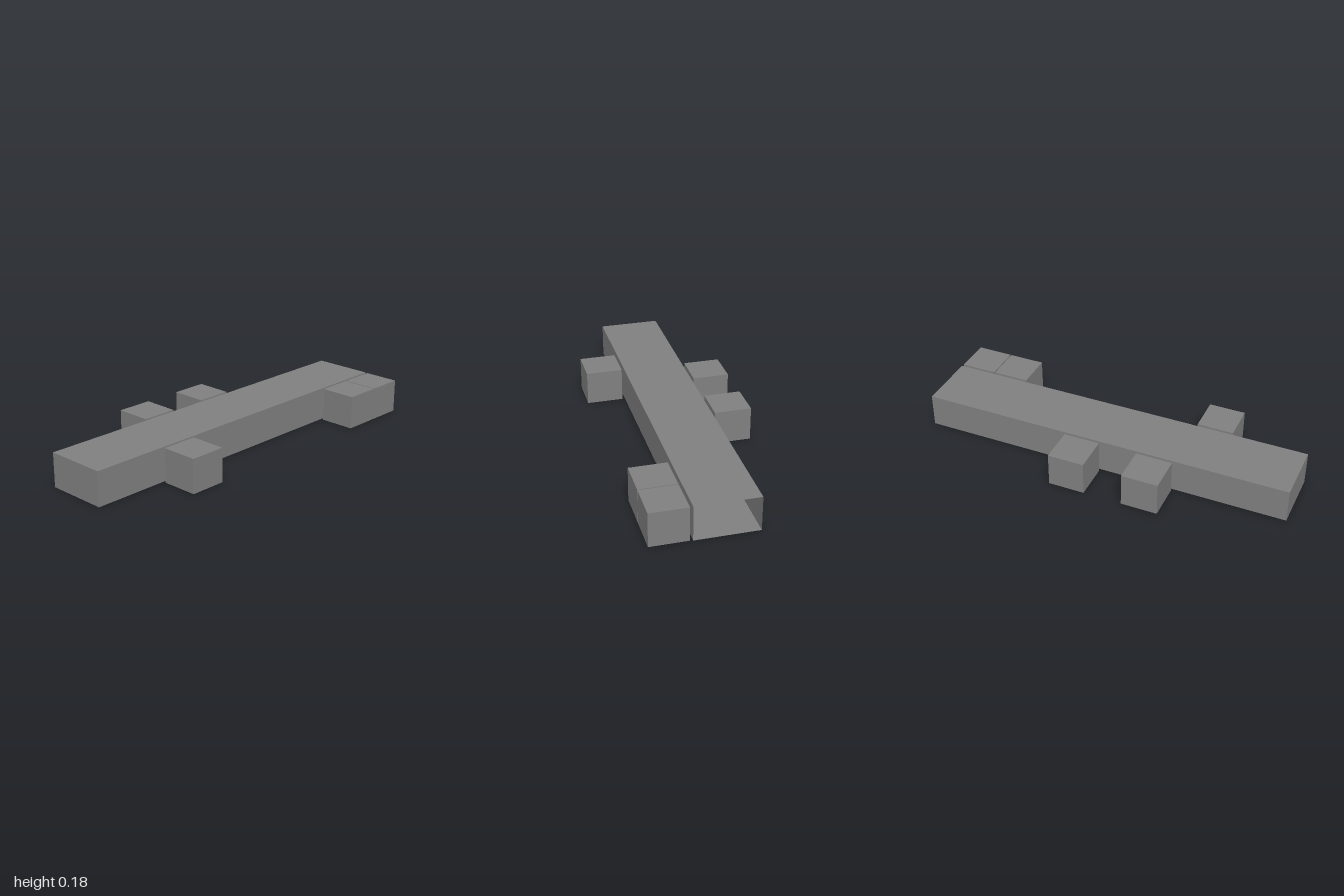
import * as THREE from 'three';

const HEIGHT = 0.18;
const HALL_HALF = 0.163; // half depth of the corridor
const GAP = 0.015;       // space between corridor and rooms
const ROOM = 0.194;      // room width and depth

export function createModel() {
  const model = new THREE.Group();
  const grey = new THREE.MeshStandardMaterial({ color: 0x808080, side: THREE.DoubleSide });
  grey.name = 'grey';

  // Adds a box standing on the ground
  function addBlock(name, w, h, d, x, z) {
    const geometry = new THREE.BoxGeometry(w, h, d);
    geometry.translate(x, h / 2, z);
    const mesh = new THREE.Mesh(geometry, grey);
    mesh.name = name;
    model.add(mesh);
    return mesh;
  }

  // Long corridor, a thin shell left open at its +x end
  const corridor = addBlock('corridor', 2, HEIGHT, HALL_HALF * 2, 0, 0);
  const index = Array.from(corridor.geometry.index.array);
  corridor.geometry.setIndex(index.slice(6)); // the first six indices are the +x face
  corridor.geometry.clearGroups();

  // Side rooms, each joined to the corridor by a low passage
  const rooms = [[-0.5, 1], [0.7, 1], [0.9, 1], [-0.3, -1], [0.1, -1]];
  rooms.forEach(([x, side], i) => {
    addBlock(`room${i + 1}`, ROOM, HEIGHT, ROOM, x, side * (HALL_HALF + GAP + ROOM / 2));
    addBlock(`passage${i + 1}`, 0.036, 0.072, GAP, x, side * (HALL_HALF + GAP / 2));
  });

  return model;
}
